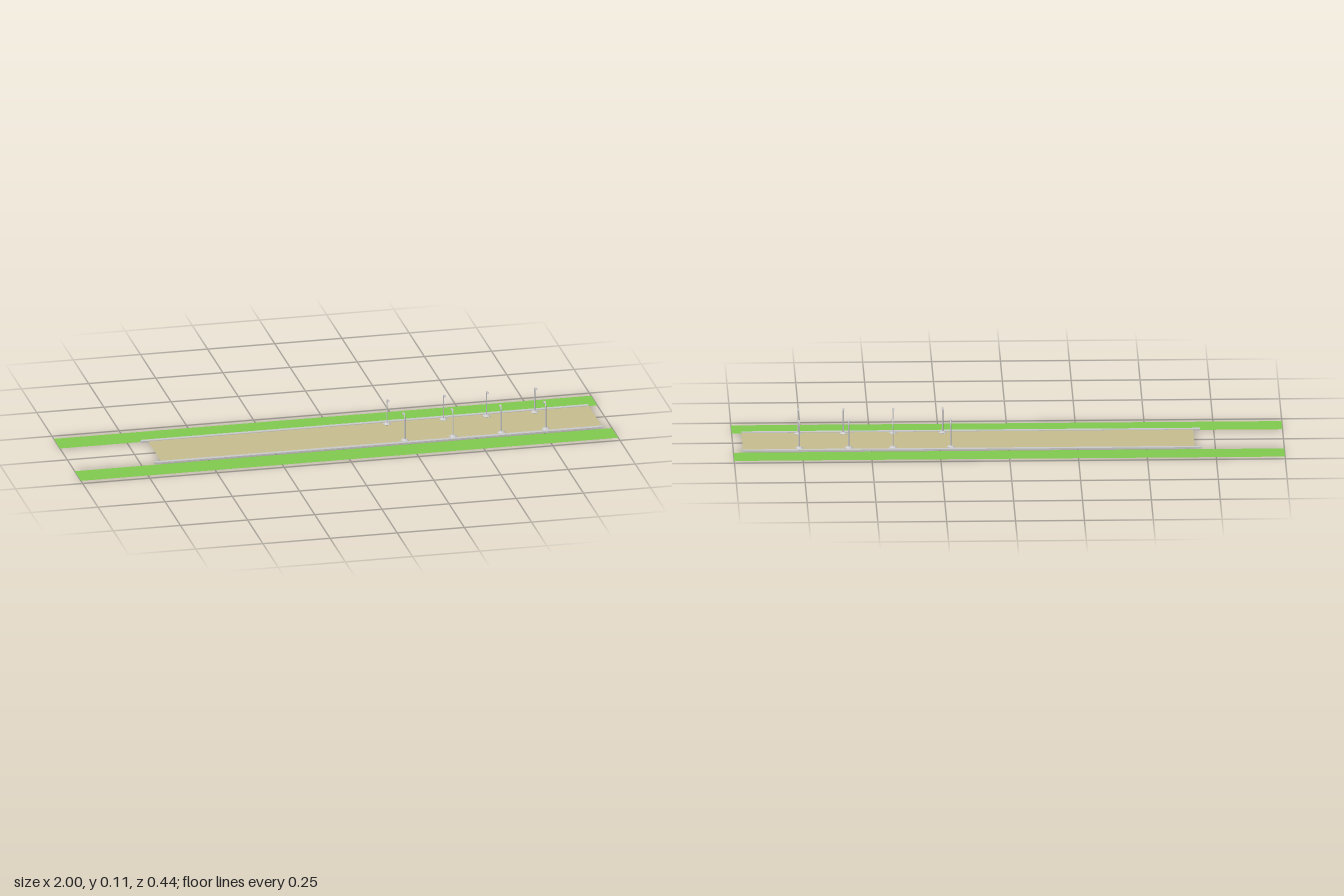
import * as THREE from 'three';

export function createModel() {
  const model = new THREE.Group();
  const grey = new THREE.MeshStandardMaterial({ color: 0xcccccc });
  const flat = (color) => new THREE.MeshStandardMaterial({ color, side: THREE.DoubleSide });
  const grass = flat(0x82cc50);
  const sand = flat(0xc8be90);

  const add = (parent, name, geometry, material, x = 0, y = 0, z = 0) => {
    const mesh = new THREE.Mesh(geometry, material);
    mesh.name = name;
    mesh.position.set(x, y, z);
    parent.add(mesh);
    return mesh;
  };
  const sheet = (w, d) => new THREE.PlaneGeometry(w, d).rotateX(-Math.PI / 2);

  // Road surface
  add(model, 'road', sheet(1.64, 0.226), sand, 0.145, 0.006, 0);

  // Grass strips and kerbs along both sides
  for (const side of [1, -1]) {
    const label = side > 0 ? 'front' : 'back';
    add(model, label + 'Grass', sheet(2, 0.102), grass, 0, 0, side * 0.171);
    add(model, label + 'Kerb', new THREE.BoxGeometry(1.665, 0.006, 0.016), grey, 0.1325, 0.005, side * 0.113);
  }

  // Street lamp parts, with the arm reaching along +z
  const baseGeometry = new THREE.LatheGeometry([
    [0, 0.0055], [0.0145, 0.0055], [0.0145, 0.0075], [0.008, 0.0095], [0.008, 0.012], [0, 0.012],
  ].map(([r, y]) => new THREE.Vector2(r, y)), 16);
  const path = new THREE.CurvePath();
  const v = (y, z) => new THREE.Vector3(0, y, z);
  path.add(new THREE.LineCurve3(v(0.01, 0), v(0.088, 0)));
  path.add(new THREE.CubicBezierCurve3(v(0.088, 0), v(0.098, 0), v(0.104, 0.005), v(0.104, 0.014)));
  const poleGeometry = new THREE.TubeGeometry(path, 24, 0.0025, 8);

  // Wedge-shaped lamp head, extruded across its width
  const profile = new THREE.Shape([
    [0.009, 0.103], [0.012, 0.1055], [0.023, 0.106], [0.025, 0.1], [0.014, 0.1],
  ].map(([z, y]) => new THREE.Vector2(z, y)));
  const headGeometry = new THREE.ExtrudeGeometry(profile, { depth: 0.008, bevelEnabled: false })
    .translate(0, 0, -0.004).rotateY(-Math.PI / 2);

  const addLamp = (name, x, z) => {
    const lamp = new THREE.Group();
    lamp.name = name;
    add(lamp, 'lampBase', baseGeometry, grey);
    add(lamp, 'lampPole', poleGeometry, grey);
    add(lamp, 'lampHead', headGeometry, grey);
    lamp.position.set(x, 0, z);
    lamp.rotation.y = z > 0 ? Math.PI : 0;
    model.add(lamp);
  };

  // Two rows of lamps leaning over the road
  [0.21, 0.42, 0.58, 0.76].forEach((x, i) => addLamp('backLamp' + (i + 1), x, -0.088));
  [0.235, 0.415, 0.595, 0.76].forEach((x, i) => addLamp('frontLamp' + (i + 1), x, 0.091));

  return model;
}
